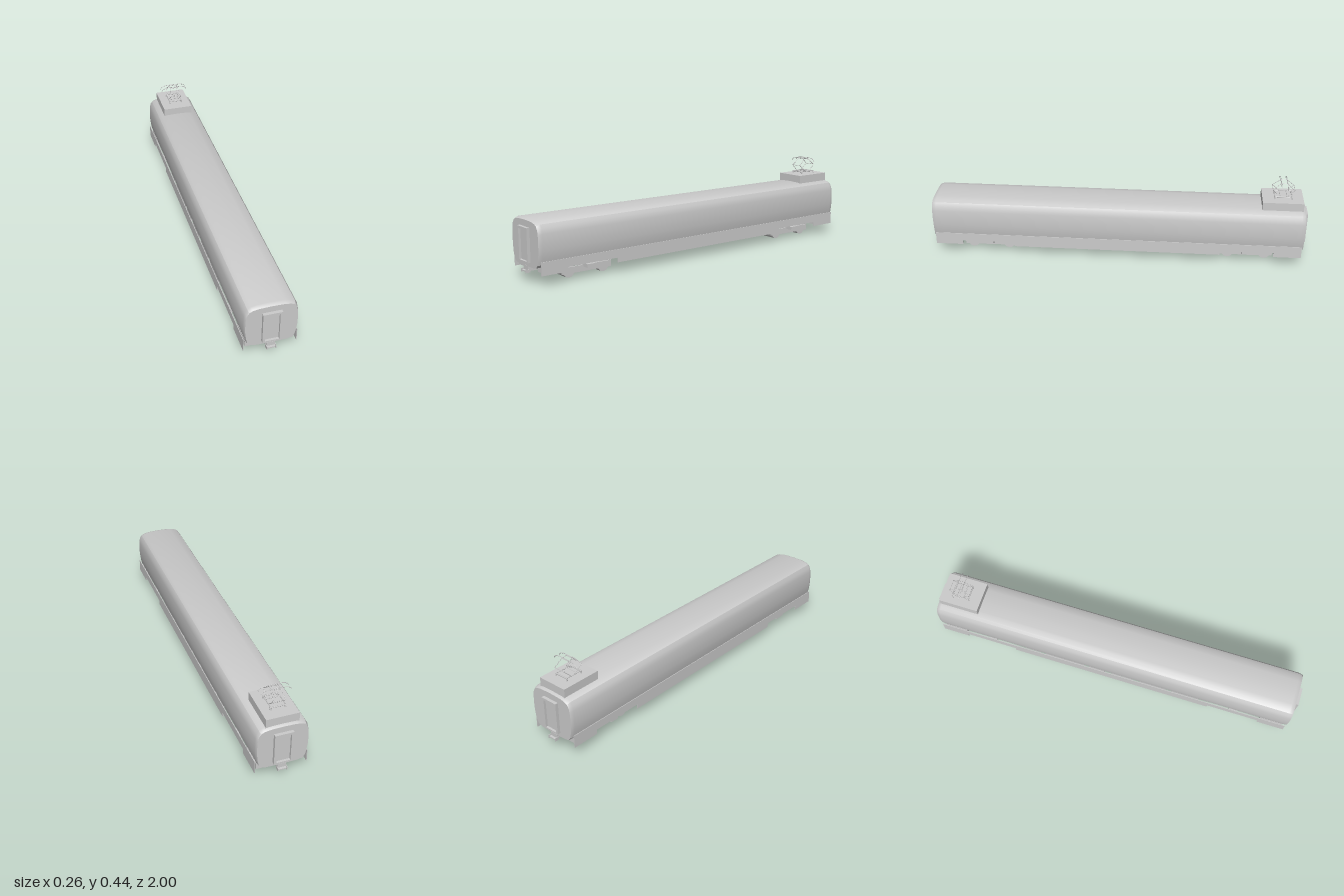
import * as THREE from 'three';
import { toCreasedNormals } from 'three/addons/utils/BufferGeometryUtils.js';

const mat = new THREE.MeshStandardMaterial({ color: 0xcccccc });
const thin = new THREE.MeshStandardMaterial({ color: 0xcccccc, side: THREE.DoubleSide });

function add(parent, name, geo, material = mat) {
  const mesh = new THREE.Mesh(geo, material);
  mesh.name = name;
  parent.add(mesh);
  return mesh;
}

// Box given by its minimum and maximum on each axis
function box(parent, name, x0, x1, y0, y1, z0, z1) {
  const mesh = add(parent, name, new THREE.BoxGeometry(x1 - x0, y1 - y0, z1 - z0));
  mesh.position.set((x0 + x1) / 2, (y0 + y1) / 2, (z0 + z1) / 2);
  return mesh;
}

// Straight round bar between two points
function rod(parent, name, a, b, r = 0.0016) {
  const p = new THREE.Vector3(...a), q = new THREE.Vector3(...b);
  const mesh = add(parent, name, new THREE.CylinderGeometry(r, r, p.distanceTo(q), 6));
  mesh.position.copy(p).add(q).multiplyScalar(0.5);
  mesh.quaternion.setFromUnitVectors(new THREE.Vector3(0, 1, 0), q.sub(p).normalize());
  return mesh;
}

// Body shell: one cross-section lofted along z, drawn in slightly at both ends
function bodyGeometry() {
  const half = [[0.085, 0.081], [0.106, 0.088], [0.118, 0.101], [0.125, 0.13], [0.13, 0.17], [0.131, 0.21],
    [0.129, 0.25], [0.124, 0.276], [0.113, 0.294], [0.096, 0.303], [0.065, 0.309], [0, 0.311]];
  const ring = [[0, 0.079], ...half, ...half.slice(0, -1).reverse().map(([x, y]) => [-x, y])];
  const stations = [[-0.984, 0.962], [-0.98, 0.975], [-0.964, 1], [0.964, 1], [0.98, 0.975], [0.984, 0.962]];
  const n = ring.length, pos = [], idx = [];
  for (const [z, s] of stations)
    for (const [x, y] of ring) pos.push(x * s, 0.079 + (y - 0.079) * s, z);
  for (let k = 0; k < stations.length - 1; k++)
    for (let i = 0; i < n; i++) {
      const a = k * n + i, b = k * n + (i + 1) % n;
      idx.push(a, b, b + n, a, b + n, a + n);
    }
  const last = (stations.length - 1) * n;
  for (let i = 1; i < n - 1; i++) {
    idx.push(0, i + 1, i);
    idx.push(last, last + i, last + i + 1);
  }
  const g = new THREE.BufferGeometry();
  g.setAttribute('position', new THREE.Float32BufferAttribute(pos, 3));
  g.setIndex(idx);
  return toCreasedNormals(g, 0.5);
}

// Side skirt: long thin plate cut away above the bogies
function skirtGeometry() {
  const s = new THREE.Shape();
  const pts = [[-0.975, 0.118], [-0.975, 0.052], [-0.83, 0.052], [-0.83, 0.076], [-0.55, 0.076], [-0.55, 0.052]];
  const all = [...pts, ...pts.slice().reverse().map(([z, y]) => [-z, y])];
  s.setFromPoints(all.map(([z, y]) => new THREE.Vector2(z, y)));
  return new THREE.ExtrudeGeometry(s, { depth: 0.003, bevelEnabled: false })
    .rotateY(-Math.PI / 2).translate(0.0015, 0, 0);
}

// Gangway door with frame and coupler, built for the +z end
function carEnd() {
  const g = new THREE.Group();
  const frame = new THREE.Shape();
  frame.setFromPoints([[-0.047, 0.102], [0.047, 0.102], [0.047, 0.27], [-0.047, 0.27]].map(p => new THREE.Vector2(...p)));
  const hole = new THREE.Path();
  hole.setFromPoints([[-0.035, 0.107], [-0.035, 0.258], [0.035, 0.258], [0.035, 0.107]].map(p => new THREE.Vector2(...p)));
  frame.holes.push(hole);
  add(g, 'gangwayFrame', new THREE.ExtrudeGeometry(frame, { depth: 0.02, bevelEnabled: false }).translate(0, 0, 0.98));
  box(g, 'gangwayDoor', -0.036, 0.036, 0.106, 0.259, 0.97, 0.988);
  box(g, 'couplerBlock', -0.021, 0.021, 0.056, 0.082, 0.93, 0.985);
  box(g, 'couplerHead', -0.022, 0.022, 0.054, 0.06, 0.98, 0.997);
  for (const s of [-1, 1])
    box(g, 'couplerHook', s * 0.022 - 0.0015, s * 0.022 + 0.0015, 0.049, 0.066, 0.975, 0.999);
  return g;
}

function bogie() {
  const g = new THREE.Group();
  for (const z of [-0.098, 0.098]) {
    const wheels = add(g, 'wheelset', toCreasedNormals(new THREE.CylinderGeometry(0.031, 0.031, 0.124, 12), 0.6));
    wheels.rotation.z = Math.PI / 2;
    wheels.position.set(0, 0.031, z);
  }
  for (const s of [-1, 1]) {
    box(g, 'sideFrame', s * 0.067 - 0.004, s * 0.067 + 0.004, 0.022, 0.054, -0.14, 0.14);
    box(g, 'endBeam', -0.07, 0.07, 0.046, 0.062, s * 0.135 - 0.004, s * 0.135 + 0.004);
    box(g, 'sideBearer', s * 0.09 - 0.02, s * 0.09 + 0.02, 0.046, 0.064, -0.022, 0.022);
  }
  box(g, 'bolster', -0.07, 0.07, 0.045, 0.062, -0.025, 0.025);
  box(g, 'pivot', -0.03, 0.03, 0.06, 0.083, -0.025, 0.025);
  return g;
}

function pantograph() {
  const g = new THREE.Group();
  for (const sz of [-1, 1]) {
    // Base frame on short insulators
    rod(g, 'baseCrossBar', [-0.04, 0.362, sz * 0.045], [0.04, 0.362, sz * 0.045], 0.003);
    for (const sx of [-1, 1]) {
      const foot = add(g, 'insulator', new THREE.CylinderGeometry(0.003, 0.0045, 0.015, 8));
      foot.position.set(sx * 0.036, 0.3565, sz * 0.045);
      // Diamond arms
      rod(g, 'lowerArm', [sx * 0.034, 0.364, sz * 0.018], [sx * 0.03, 0.4, sz * 0.056]);
      rod(g, 'upperArm', [sx * 0.03, 0.4, sz * 0.056], [sx * 0.022, 0.435, sz * 0.016]);
    }
    rod(g, 'kneeBar', [-0.031, 0.4, sz * 0.056], [0.031, 0.4, sz * 0.056]);
    rod(g, 'headBar', [-0.023, 0.435, sz * 0.016], [0.023, 0.435, sz * 0.016]);
    rod(g, 'lowerPivot', [-0.036, 0.364, sz * 0.018], [0.036, 0.364, sz * 0.018], 0.002);
    // Contact strip with drooping horns
    const curve = new THREE.CatmullRomCurve3(
      [[-0.075, 0.422], [-0.065, 0.433], [-0.043, 0.44], [0, 0.441], [0.043, 0.44], [0.065, 0.433], [0.075, 0.422]]
        .map(([x, y]) => new THREE.Vector3(x, y, sz * 0.016)));
    add(g, 'contactStrip', new THREE.TubeGeometry(curve, 24, 0.0018, 6));
  }
  for (const sx of [-1, 1]) {
    rod(g, 'baseSideBar', [sx * 0.036, 0.363, -0.045], [sx * 0.036, 0.363, 0.045], 0.0025);
    rod(g, 'headLink', [sx * 0.022, 0.437, -0.016], [sx * 0.022, 0.437, 0.016]);
  }
  return g;
}

export function createModel() {
  const car = new THREE.Group();
  car.name = 'railCar';
  add(car, 'bodyShell', bodyGeometry());

  for (const s of [-1, 1]) {
    const skirt = add(car, 'sideSkirt', skirtGeometry(), thin);
    skirt.position.x = s * 0.13;

    const end = carEnd();
    end.name = s > 0 ? 'frontEnd' : 'rearEnd';
    if (s < 0) end.rotation.y = Math.PI;
    car.add(end);

    const truck = bogie();
    truck.name = s > 0 ? 'frontBogie' : 'rearBogie';
    truck.position.z = s * 0.69;
    car.add(truck);

    // Step brackets behind the skirt at the car corners
    for (const x of [-1, 1])
      box(car, 'cornerStep', x * 0.094 - 0.024, x * 0.094 + 0.024, 0.06, 0.095, s * 0.9 - 0.06, s * 0.9 + 0.06);
  }

  // Underfloor equipment cases
  for (const [z0, z1, y] of [[-0.5, -0.41, 0.066], [-0.38, -0.16, 0.058], [-0.13, -0.04, 0.05],
    [0, 0.12, 0.06], [0.16, 0.31, 0.058], [0.34, 0.5, 0.06]])
    box(car, 'underfloorCase', -0.11, 0.11, y, 0.095, z0, z1);

  // Roof equipment and current collector
  box(car, 'roofCase', -0.082, 0.082, 0.295, 0.35, -0.97, -0.757);
  const collector = pantograph();
  collector.name = 'pantograph';
  collector.position.z = -0.865;
  car.add(collector);
  return car;
}
